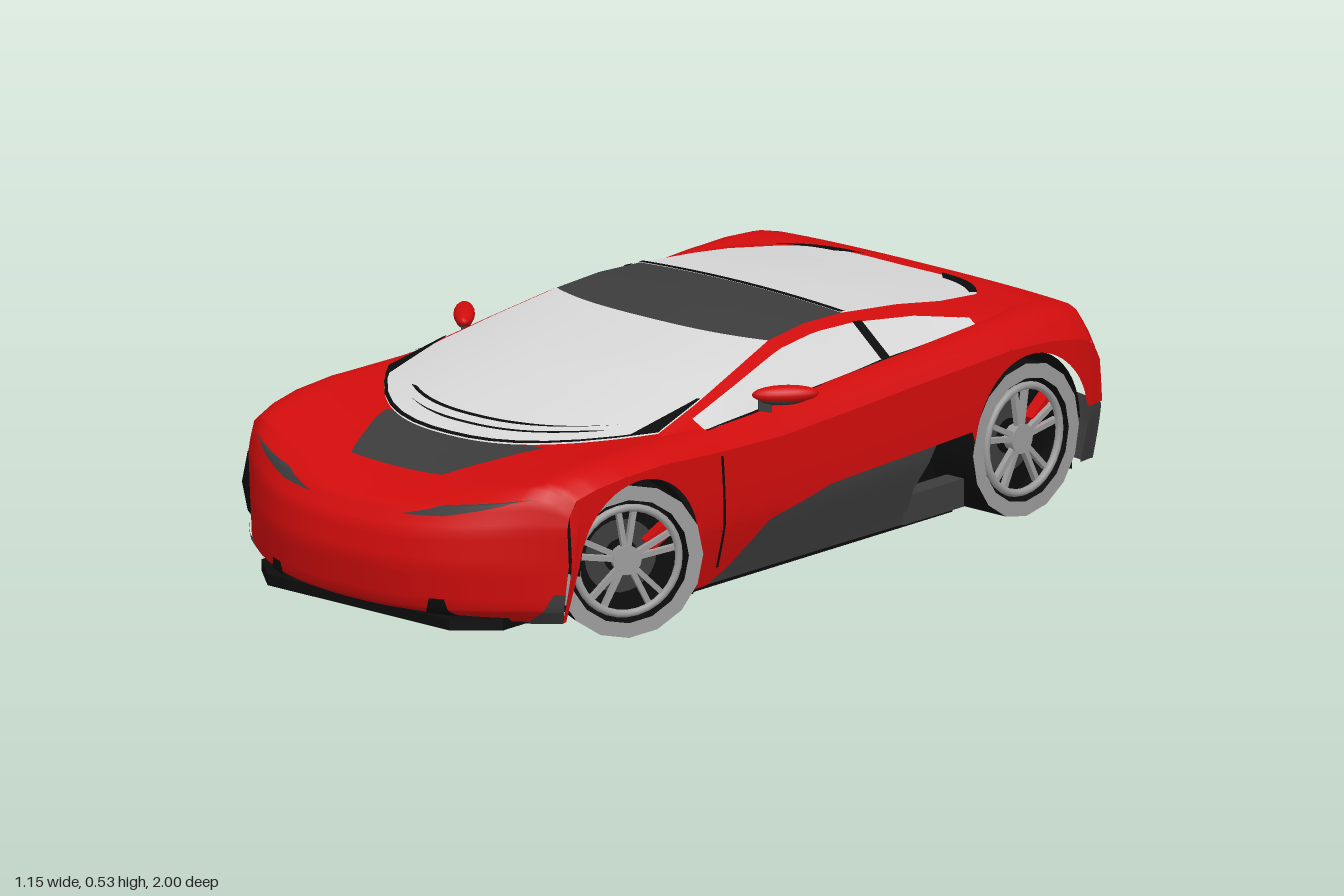
import * as THREE from 'three';

const mat = (name, color, side = THREE.DoubleSide) => {
  const m = new THREE.MeshStandardMaterial({ color, side });
  m.name = name;
  return m;
};
const red = mat('red paint', 0xd00c0c, THREE.FrontSide);
const glass = mat('pale glass', 0xd6d6d6);
const dark = mat('dark grey panel', 0x3c3c3c);
const black = mat('black trim', 0x0c0c0c);
const silver = mat('wheel silver', 0x9c9c9c);

// Row: centre z, centre y, half width, sweep of the edge towards the middle, shoulder y, edge drop
const BODY = [
  [.94, .065, .45, .17, .065, 0], [.985, .09, .465, .2, .1, 0], [1, .19, .475, .22, .2, 0],
  [.985, .26, .475, .2, .285, 0], [.95, .305, .475, .172, .345, .03], [.88, .335, .48, .12, .378, .03],
  [.78, .355, .49, .08, .395, .03], [.66, .37, .5, .04, .405, .03], [.5, .375, .505, 0, .41, .03],
  [.3, .37, .505, 0, .408, .04], [.1, .36, .505, 0, .412, .05], [-.1, .36, .505, 0, .42, .05],
  [-.32, .37, .508, 0, .432, .05], [-.5, .38, .51, 0, .44, .05], [-.65, .4, .51, 0, .447, .05],
  [-.78, .42, .51, 0, .45, .06], [-.87, .44, .51, 0, .445, .07], [-.94, .435, .505, -.02, .43, .07],
  [-.98, .4, .5, -.04, .39, .05], [-1, .31, .5, -.045, .31, 0], [-.99, .215, .495, -.04, .215, 0],
  [-.975, .15, .49, -.035, .15, 0], [-.94, .08, .48, -.02, .08, 0],
];
const CANOPY = [
  [.65, .384, .4, .25, .41, 0], [.45, .435, .38, .2, .444, 0], [.25, .48, .35, .15, .477, 0],
  [0, .517, .315, .06, .51, 0], [-.16, .53, .305, .03, .52, 0], [-.32, .525, .3, 0, .515, 0],
  [-.5, .508, .305, 0, .497, 0], [-.63, .49, .315, 0, .478, 0], [-.86, .45, .29, -.08, .457, 0],
];
const TAIL = 20; // first row of the dark rear bumper

// Linear lookup of a row at a fractional index
function rowAt(rows, v) {
  const i = Math.max(0, Math.min(rows.length - 2, Math.floor(v)));
  return rows[i].map((a, k) => a + (rows[i + 1][k] - a) * (v - i));
}
// Linear lookup in [z, value] pairs with falling z
function lookup(pairs, z) {
  let i = 0;
  while (i < pairs.length - 2 && z < pairs[i + 1][0]) i++;
  const [a, b] = [pairs[i], pairs[i + 1]];
  const f = Math.max(0, Math.min(1, (z - a[0]) / (b[0] - a[0])));
  return a[1] + (b[1] - a[1]) * f;
}
// Point on a swept skin: v runs front to back, t runs from -1 to 1 across
const skin = (rows, peak) => (v, t) => {
  const [z, yc, hw, bow, ye, drop] = rowAt(rows, v);
  const a = Math.abs(t);
  const y = a < peak ? yc + (ye - yc) * (a / peak) ** 2 : ye - drop * ((a - peak) / (1 - peak || 1)) ** 2;
  return [hw * t, y, z - bow * a ** (bow < 0 ? 4 : 2.5)];
};
const bodySkin = skin(BODY, .85), canopySkin = skin(CANOPY, 1);

// Surface from a grid of points
function grid(nu, nv, fn, flip = false) {
  const pos = [], idx = [];
  for (let i = 0; i <= nu; i++) for (let j = 0; j <= nv; j++) pos.push(...fn(i / nu, j / nv));
  for (let i = 0; i < nu; i++) for (let j = 0; j < nv; j++) {
    const a = i * (nv + 1) + j, b = a + 1, c = a + nv + 1, d = c + 1;
    if (flip) idx.push(a, c, b, b, c, d); else idx.push(a, b, c, b, d, c);
  }
  const g = new THREE.BufferGeometry();
  g.setAttribute('position', new THREE.Float32BufferAttribute(pos, 3));
  g.setIndex(idx);
  g.computeVertexNormals();
  return g;
}
// Thin plate lying just above a skin
function plate(fn, v0, v1, l0, r0, l1, r1, lift = .005) {
  const V = (v, t) => new THREE.Vector3(...fn(v, t));
  return grid(10, 14, (u, w) => {
    const v = v0 + (v1 - v0) * u, l = l0 + (l1 - l0) * u, r = r0 + (r1 - r0) * u, t = l + (r - l) * w;
    const p = V(v, t), n = V(v, t + .01).sub(p).cross(V(v + .01, t).sub(p)).normalize();
    return p.addScaledVector(n, lift).toArray();
  }, l0 + l1 > r0 + r1);
}

const FRONT = { z: .575, y: .175, r: .185 }, REAR = { z: -.71, y: .185, r: .19 };
const SILL = [[.375, .06], [.33, .06], [.27, .09], [.15, .18], [-.05, .22], [-.52, .24]];
const EDGE = BODY.slice(4, 20).map(r => [r[0] - r[3], r[2], r[4] - r[5]]);
const edgeX = z => lookup(EDGE.map(e => [e[0], e[1]]), z);
const edgeY = z => lookup(EDGE.map(e => [e[0], e[2]]), z);
// Lower edge of the red flank, with wheel arches
function lowY(z) {
  for (const a of [FRONT, REAR]) {
    const d = Math.abs(z - a.z);
    if (d < a.r) return a.y + Math.sqrt(a.r * a.r - d * d);
  }
  return z > FRONT.z ? .065 : z < REAR.z ? .215 : lookup(SILL, z);
}
const flankX = (z, y) => edgeX(z) + .008 * Math.sin(Math.PI * Math.min(1, Math.max(0, (edgeY(z) - y) / .3)))
  - .025 * Math.max(0, (.2 - y) / .14);

export function createModel() {
  const car = new THREE.Group();
  car.name = 'sportsCar';
  const add = (name, geo, m, parent = car) => {
    const o = new THREE.Mesh(geo, m);
    o.name = name;
    parent.add(o);
    return o;
  };
  const box = (name, m, w, h, d, x, y, z, parent) => {
    const o = add(name, new THREE.BoxGeometry(w, h, d), m, parent);
    o.position.set(x, y, z);
    return o;
  };
  const both = fn => [1, -1].forEach(s => fn(s, s > 0 ? 'Left' : 'Right'));
  const sweep = (name, fn, v0, v1, m) =>
    add(name, grid((v1 - v0) * 4, 40, (u, w) => fn(v0 + (v1 - v0) * u, w * 2 - 1)), m);

  // Upper skin from nose to tail, then glass and roof
  sweep('bodyShell', bodySkin, 0, TAIL, red);
  sweep('rearBumper', bodySkin, TAIL, BODY.length - 1, dark);
  sweep('windscreen', canopySkin, 0, 3, glass);
  sweep('roofPanel', canopySkin, 3, 5, dark);
  sweep('rearWindow', canopySkin, 5, 8, glass);

  // Plates on the skins
  add('bonnetPanel', plate(bodySkin, 5.55, 7.4, -.28, .28, -.47, .47), dark);
  add('numberPlate', plate(bodySkin, 20.3, 21.2, -.13, .13, -.13, .13), silver);
  add('windscreenBaseTrim', plate(canopySkin, 0, .06, -1, 1, -1, 1, .004), black);
  add('wiperLong', plate(canopySkin, .42, .47, -.65, .8, -.6, .3), black);
  add('wiperShort', plate(canopySkin, .26, .3, -.15, .8, -.5, .7), black);
  add('roofRearSeam', plate(canopySkin, 4.96, 5.06, -1, 1, -1, 1, .003), black);

  // Roof rail, outer edge and window foot: [z, x, y]
  const outer = [[.42, .4], [.402, .434], [.376, .464], [.345, .495], [.335, .505], [.335, .5], [.355, .48], [.395, .455], [.4, .44]];
  const foot = [[.45, .395], [.45, .405], [.44, .405], [.435, .41], [.432, .415], [.428, .425], [.425, .43], [.425, .435], [.42, .435]];
  const cabinSide = (v, c) => {
    const i = Math.min(7, Math.floor(v)), f = v - i;
    const [x, y, z] = canopySkin(v, 1);
    const mix = (l, k) => l[i][k] + (l[i + 1][k] - l[i][k]) * f;
    const pts = [[x, y], [mix(outer, 0), mix(outer, 1)], [mix(foot, 0), mix(foot, 1)]];
    const k = Math.min(1, Math.floor(c)), g = c - k;
    return [pts[k][0] + (pts[k + 1][0] - pts[k][0]) * g, pts[k][1] + (pts[k + 1][1] - pts[k][1]) * g, z];
  };

  both((s, side) => {
    const strip = (name, v0, v1, c0, c1, m, lift = 0) => add(name + side, grid(24, 2, (u, w) => {
      const p = cabinSide(v0 + (v1 - v0) * u, c0 + (c1 - c0) * w);
      return [s * (p[0] + lift), p[1] + lift, p[2]];
    }, s < 0), m);
    strip('roofRail', 0, 8, 0, 1, red);
    strip('frontPillarFoot', 0, .7, 1, 2, red);
    strip('sideWindow', .7, 7.05, 1, 2, glass);
    strip('rearQuarter', 7.05, 8, 1, 2, red);
    strip('doorPillar', 4.95, 5.12, 1, 2, black, .003);
    strip('windowSill', .7, 7.05, 1.93, 2, black, .003);

    // Flank with arches, dark sill and rear corner
    const ribbon = (name, z0, z1, n, top, bottom, inset, m) => add(name + side, grid(n, 10, (u, w) => {
      const z = z0 + (z1 - z0) * u, a = top(z), y = a + (bottom(z) - a) * w;
      return [s * (flankX(z, y) - inset), y, z];
    }, s < 0), m);
    ribbon('flank', .778, -.955, 180, edgeY, lowY, 0, red);
    ribbon('sillPanel', .335, -.4, 60, z => lowY(z) + .008,
      z => (z < -.33 ? .13 + (-.33 - z) * 1.5 : .06), .004, dark);
    ribbon('rearCorner', -.905, -.95, 4, () => .215, () => .08, 0, dark);
    ribbon('doorSeam', .312, .304, 2, () => .36, () => .1, -.003, black);
    box('sillRail' + side, dark, .05, .065, .2, s * .46, .0925, -.42);

    // Nose and tail details
    const P = (name, fn, m, v0, v1, a, b, c, d) => add(name + side, plate(fn, v0, v1, s * a, s * b, s * c, s * d), m);
    P('bumperCorner', bodySkin, dark, 0, 1.35, .86, 1, .96, 1);
    P('bumperFin', bodySkin, black, 0, 1.25, .4, .62, .47, .54);
    P('headlamp', bodySkin, dark, 3.65, 4.1, .28, .5, .5, .86);
    P('windscreenCorner', canopySkin, black, 0, 1.1, .9, 1, .985, 1);
    P('rearDeckVent', canopySkin, black, 7.8, 8, .55, .98, .4, 1);
    P('tailSlot', bodySkin, black, 20.1, 21.3, .72, .8, .7, .78);

    // Wheel arch liners
    for (const [name, a] of [['front', FRONT], ['rear', REAR]]) {
      const liner = add(name + 'ArchLiner' + side,
        new THREE.CylinderGeometry(a.r, a.r, .17, 24, 1, true, 0, Math.PI), black);
      liner.rotation.z = Math.PI / 2;
      liner.position.set(s * .405, a.y, a.z);
    }
    box('frontWheelWell' + side, black, .17, .13, .01, s * .405, .12, .388);

    // Door mirror
    const mirror = new THREE.Group();
    mirror.name = 'mirror' + side;
    mirror.position.set(s * .478, .445, .065);
    mirror.rotation.y = s * .85;
    const cap = add('mirrorCap', new THREE.SphereGeometry(1, 20, 12), red, mirror);
    cap.scale.set(.075, .02, .024);
    const under = add('mirrorUnderside', new THREE.SphereGeometry(1, 20, 12), dark, mirror);
    under.scale.set(.058, .017, .02);
    under.position.set(-s * .005, -.008, 0);
    box('mirrorStalk', dark, .03, .04, .012, -s * .045, -.02, 0, mirror);
    car.add(mirror);
  });

  // Flat floor and inner bulkheads
  const half = [[.27, .95], [.36, .87], [.36, .78], [.31, .74], [.31, .4], [.47, .36], [.47, -.5], [.34, -.54], [.34, -.88], [.44, -.93]];
  const outline = [...half, ...half.map(([x, z]) => [-x, z]).reverse()].map(([x, z]) => new THREE.Vector2(x, -z));
  const floor = add('floor', new THREE.ExtrudeGeometry(new THREE.Shape(outline), { depth: .025, bevelEnabled: false }), black);
  floor.rotation.x = -Math.PI / 2;
  floor.position.y = .05;
  box('frontBulkhead', black, .62, .27, .36, 0, .2, .57);
  box('rearBulkhead', black, .66, .27, .33, 0, .21, -.71);

  // Wheels: axle along x, outer face at +x before mirroring
  function wheel(name, s, z, steer) {
    const g = new THREE.Group();
    g.name = name;
    g.position.set(s * .435, .176, z);
    g.rotation.y = steer + (s < 0 ? Math.PI : 0);
    const turned = (part, geo, m, x) => {
      const o = add(part, geo, m, g);
      o.rotation.y = Math.PI / 2;
      o.position.x = x;
    };
    for (const [part, r] of [['tread', .176], ['rimBarrel', .143]]) {
      const c = add(part, new THREE.CylinderGeometry(r, r, .13, 16, 1, true), black, g);
      c.rotation.z = Math.PI / 2;
    }
    turned('tyreWall', new THREE.RingGeometry(.142, .176, 16), silver, .065);
    turned('innerTyreWall', new THREE.RingGeometry(.142, .176, 16), black, -.065);
    turned('rimLip', new THREE.TorusGeometry(.122, .009, 8, 32), silver, .055);
    turned('wheelBack', new THREE.CircleGeometry(.143, 24), black, .0);
    turned('brakeDisc', new THREE.RingGeometry(.04, .085, 24), dark, .012);
    for (let i = 0; i < 10; i++) {
      const a = Math.floor(i / 2) * Math.PI * .4 + (i % 2 ? .16 : -.16);
      const spoke = box('spoke', silver, .014, .095, .012, .045, Math.cos(a) * .073, Math.sin(a) * .073, g);
      spoke.rotation.x = a;
    }
    const hub = add('hub', new THREE.CylinderGeometry(.03, .034, .03, 16), silver, g);
    hub.rotation.z = Math.PI / 2;
    hub.position.x = .04;
    const caliper = box('caliper', red, .03, .07, .03, .025, .045, -s * .085, g);
    caliper.rotation.x = -s * .9;
    car.add(g);
  }
  both((s, side) => {
    wheel('frontWheel' + side, s, FRONT.z - .005, -.48);
    wheel('rearWheel' + side, s, REAR.z, 0);
  });
  return car;
}
